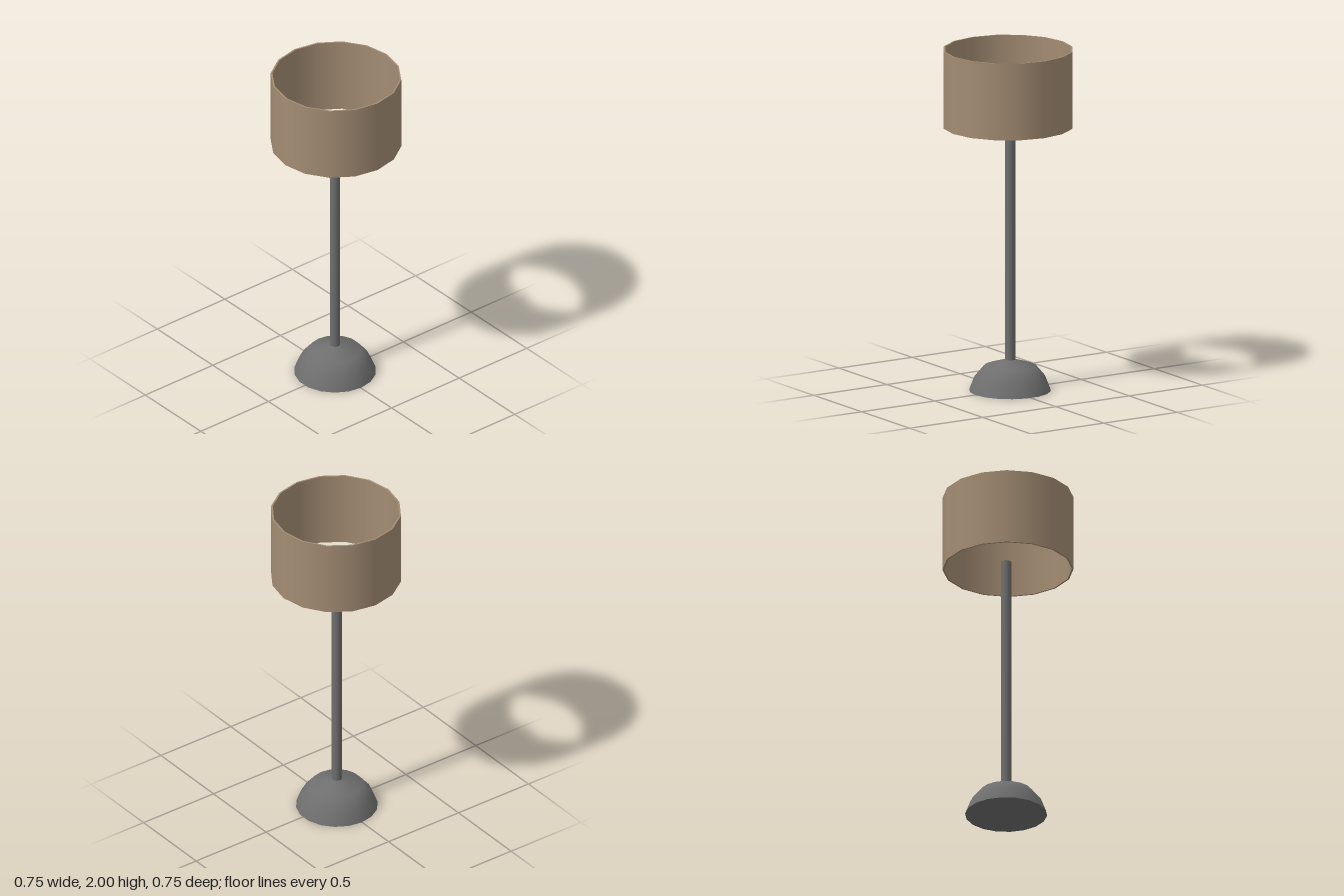
import * as THREE from 'three';
import { mergeGeometries } from 'three/addons/utils/BufferGeometryUtils.js';

// Revolves each profile separately, so edges between profiles stay sharp.
function revolve(profiles, sides) {
  return mergeGeometries(profiles.map((points) =>
    new THREE.LatheGeometry(points.map(([r, y]) => new THREE.Vector2(r, y)), sides)));
}

export function createModel() {
  const metal = new THREE.MeshStandardMaterial({ name: 'dark grey metal', color: 0x6e6e6e });
  const fabric = new THREE.MeshStandardMaterial({ name: 'tan fabric', color: 0xa38c73 });
  const lamp = new THREE.Group();
  lamp.name = 'floorLamp';

  function add(name, geometry, material, x, y, z) {
    const mesh = new THREE.Mesh(geometry, material);
    mesh.name = name;
    mesh.position.set(x, y, z);
    lamp.add(mesh);
  }

  // Domed foot with a flat underside
  const foot = revolve([
    [[0, 0], [0.235, 0]],
    [[0.235, 0], [0.205, 0.077], [0.15, 0.143], [0, 0.19]],
  ], 18);
  add('base', foot, metal, 0.003, 0, -0.012);

  // Slender pole ending just inside the shade
  const bottom = 0.17, top = 1.59;
  add('pole', new THREE.CylinderGeometry(0.03, 0.03, top - bottom, 18), metal,
    0.003, (top + bottom) / 2, -0.012);

  // Thin-walled drum shade, open above and below
  const outer = 0.375, inner = 0.365, low = 1.55, high = 2;
  const shade = revolve([
    [[outer, low], [outer, high]],
    [[outer, high], [inner, high]],
    [[inner, high], [inner, low]],
    [[inner, low], [outer, low]],
  ], 16);
  add('shade', shade, fabric, 0, 0, 0);

  return lamp;
}
